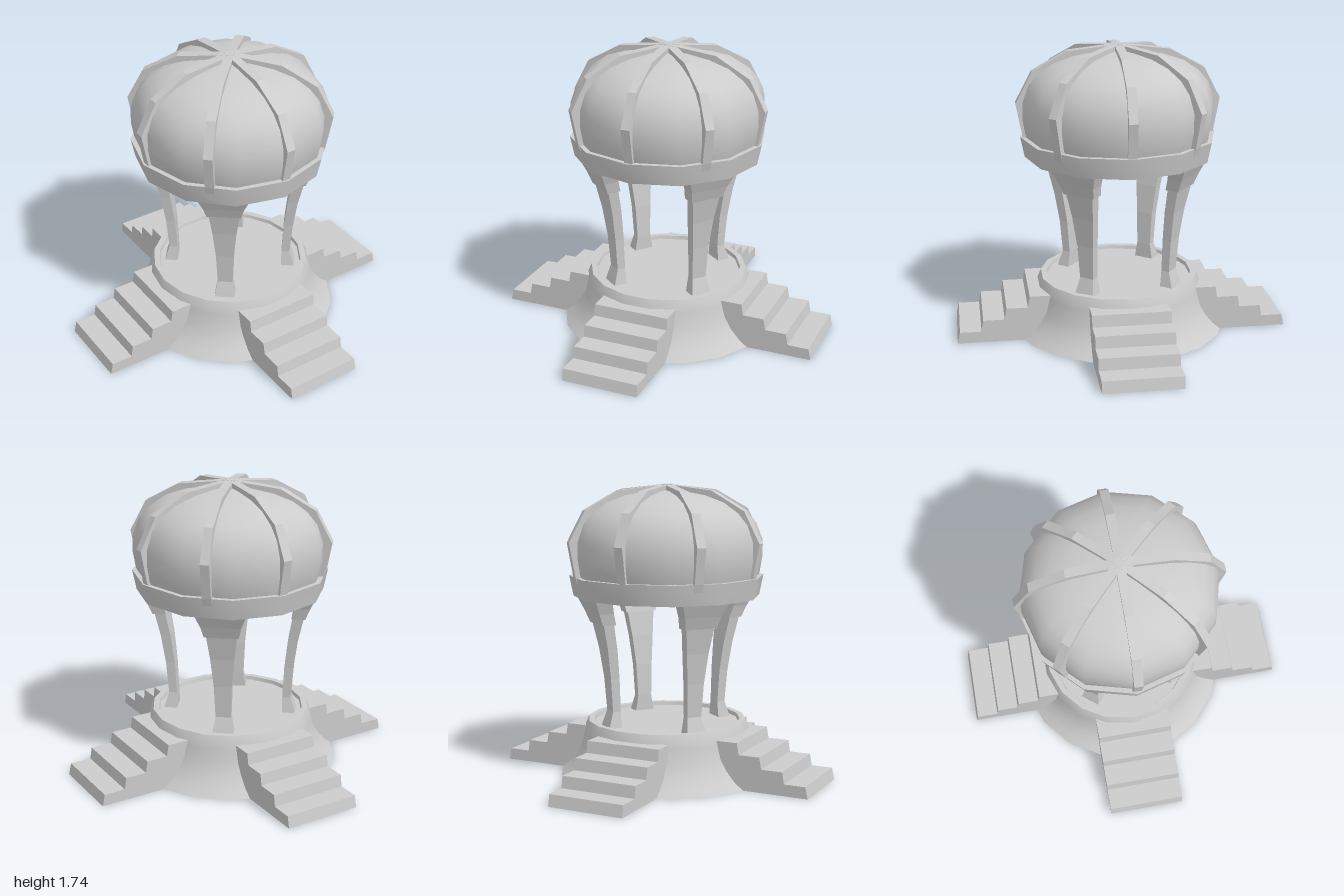
import * as THREE from 'three';
import { toCreasedNormals } from 'three/addons/utils/BufferGeometryUtils.js';

const material = new THREE.MeshStandardMaterial({ color: 0xcccccc });

function addMesh(parent, name, geometry) {
  const mesh = new THREE.Mesh(geometry, material);
  mesh.name = name;
  parent.add(mesh);
  return mesh;
}

// Turned part from [radius, y] points running up the outside
function turned(points, sides) {
  const geo = new THREE.LatheGeometry(points.map(([r, y]) => new THREE.Vector2(r, y)), sides);
  geo.rotateY(Math.PI / 2);
  return toCreasedNormals(geo, 0.65);
}

// Side profile in (x, y), extruded evenly to both sides of z = 0
function slab(points, width) {
  const shape = new THREE.Shape(points.map(([x, y]) => new THREE.Vector2(x, y)));
  const geo = new THREE.ExtrudeGeometry(shape, { depth: width, bevelEnabled: false });
  return geo.translate(0, 0, -width / 2);
}

// Rectangular loft along y; each section is [y, inner x, outer x, half width]
function loft(sections) {
  const pos = [];
  const rings = sections.map(([y, a, b, w]) => [[a, y, w], [b, y, w], [b, y, -w], [a, y, -w]]);
  const quad = (a, b, c, d) => pos.push(...a, ...b, ...c, ...a, ...c, ...d);
  for (let i = 0; i < rings.length - 1; i++) {
    for (let k = 0; k < 4; k++) {
      const n = (k + 1) % 4;
      quad(rings[i][k], rings[i][n], rings[i + 1][n], rings[i + 1][k]);
    }
  }
  const [p, q, r, s] = rings[0];
  quad(s, r, q, p);
  quad(...rings[rings.length - 1]);
  const geo = new THREE.BufferGeometry();
  geo.setAttribute('position', new THREE.Float32BufferAttribute(pos, 3));
  geo.computeVertexNormals();
  return geo;
}

export function createModel() {
  const model = new THREE.Group();
  model.name = 'pavilion';

  // Flared plinth with a raised rim around the floor
  addMesh(model, 'plinth', turned([
    [0, 0], [0.65, 0], [0.605, 0.04], [0.56, 0.1], [0.525, 0.17], [0.507, 0.25],
    [0.5, 0.28], [0.48, 0.327], [0.445, 0.327], [0.44, 0.305], [0, 0.305],
  ], 18));

  // Four flights of steps with slightly leaning risers
  const stepProfile = [[0.4, 0], [1, 0]];
  for (let i = 0; i < 4; i++) {
    const x = 0.985 - i * 0.14;
    if (i > 0) stepProfile.push([x + 0.012, i * 0.069]);
    stepProfile.push([x, (i + 1) * 0.069]);
  }
  stepProfile.push([0.4, 0.276]);
  const stepGeo = slab(stepProfile, 0.464);
  for (let i = 0; i < 4; i++) {
    addMesh(model, 'steps', stepGeo).rotation.y = i * Math.PI / 2;
  }

  // Four columns leaning outward, with spreading capitals
  const shaftGeo = loft([
    [0.3, 0.325, 0.405, 0.062], [0.335, 0.325, 0.395, 0.056], [0.4, 0.325, 0.375, 0.045],
    [0.6, 0.335, 0.39, 0.053], [0.78, 0.355, 0.415, 0.07], [0.94, 0.385, 0.45, 0.09],
  ]);
  const capitalGeo = loft([
    [0.93, 0.375, 0.458, 0.1], [1.0, 0.395, 0.485, 0.116], [1.09, 0.42, 0.525, 0.15],
  ]);
  for (let i = 0; i < 4; i++) {
    const column = new THREE.Group();
    column.name = 'column';
    column.rotation.y = THREE.MathUtils.degToRad(-38) + i * Math.PI / 2;
    addMesh(column, 'shaft', shaftGeo);
    addMesh(column, 'capital', capitalGeo);
    model.add(column);
  }

  // Band closed underneath, with a narrow ledge on top
  addMesh(model, 'band', turned([
    [0, 1.077], [0.56, 1.077], [0.585, 1.2], [0.55, 1.2], [0.545, 1.16], [0, 1.16],
  ], 12));

  // Bulging dome
  addMesh(model, 'dome', turned([
    [0.54, 1.15], [0.562, 1.22], [0.577, 1.31], [0.575, 1.41], [0.54, 1.51],
    [0.48, 1.58], [0.39, 1.64], [0.27, 1.68], [0.13, 1.703], [0, 1.71],
  ], 12));

  // Eight ribs over the dome
  const ribGeo = slab([
    [0.555, 1.15], [0.57, 1.2], [0.608, 1.407], [0.51, 1.593], [0.303, 1.708], [0, 1.743],
    [0, 1.66], [0.26, 1.63], [0.43, 1.55], [0.52, 1.4], [0.5, 1.15],
  ], 0.053);
  for (let i = 0; i < 8; i++) {
    addMesh(model, 'rib', ribGeo).rotation.y = i * Math.PI / 4;
  }

  return model;
}
